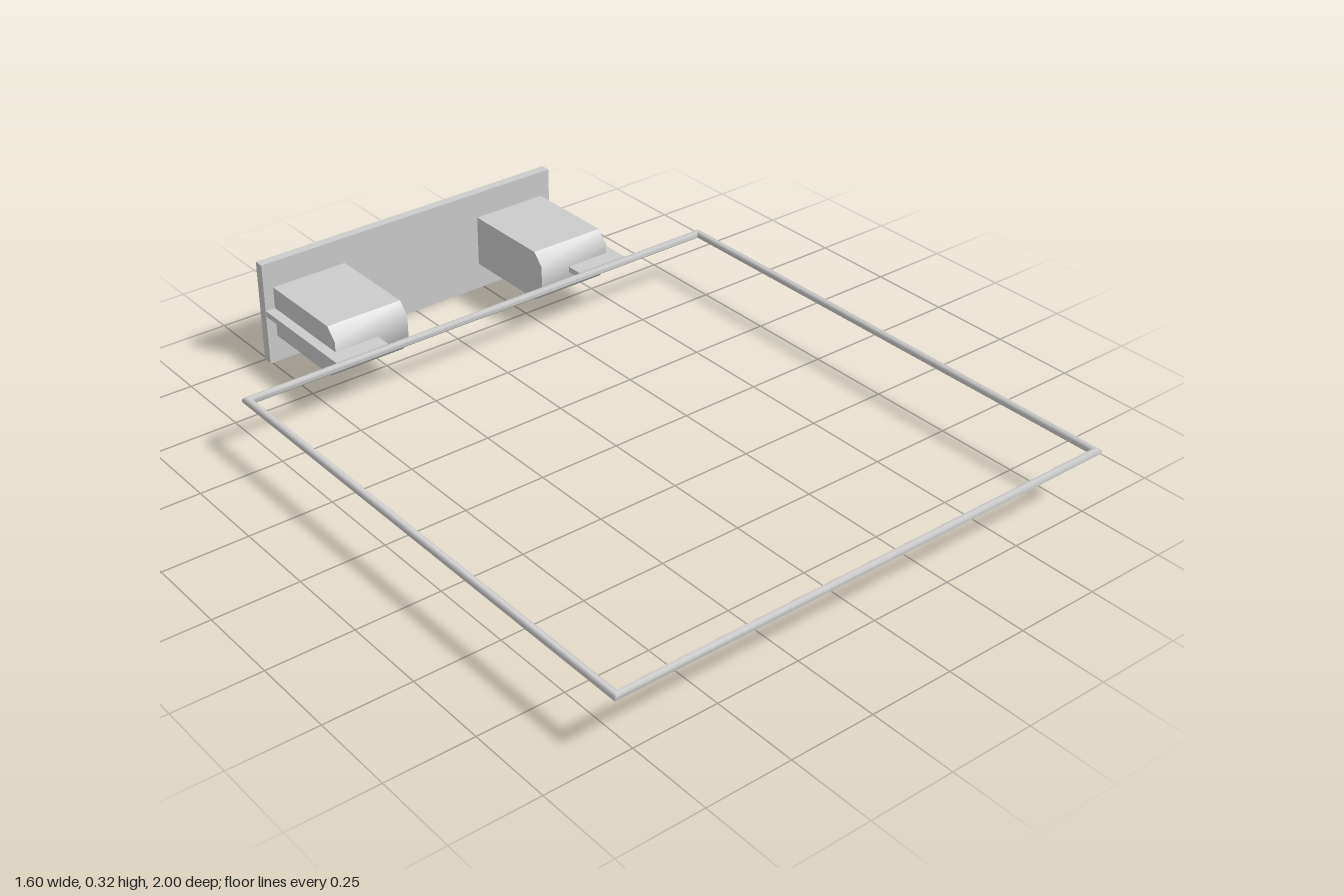
import * as THREE from 'three';
import { toCreasedNormals } from 'three/addons/utils/BufferGeometryUtils.js';

export function createModel() {
  const group = new THREE.Group();
  const material = new THREE.MeshStandardMaterial({ color: 0xcccccc });
  const midY = 0.162;

  const add = (name, geometry, x, y, z) => {
    const mesh = new THREE.Mesh(geometry, material);
    mesh.name = name;
    mesh.position.set(x, y, z);
    group.add(mesh);
    return mesh;
  };

  // Square rim: an octagonal section swept round four mitred corners
  const section = [];
  for (let i = 0; i <= 8; i++) {
    const a = Math.PI / 8 + (i * Math.PI) / 4;
    const r = 0.0118;
    section.push(new THREE.Vector2((0.789 + r * Math.cos(a)) * Math.SQRT2, r * Math.sin(a)));
  }
  const rim = new THREE.LatheGeometry(section, 4, Math.PI / 4);
  add('rim', toCreasedNormals(rim, 0.8), 0, midY, 0.2);

  // Upright mounting board
  add('backBoard', new THREE.BoxGeometry(1.014, 0.32, 0.03), 0, 0.16, -0.985);

  // Support block profile in (z, y), with bevelled front corners
  const front = -0.647, back = -0.97, low = 0.082, high = 0.24;
  const dz = 0.034, dy = 0.036;
  const profile = new THREE.Shape([
    [back, low], [front - dz, low], [front, low + dy],
    [front, high - dy], [front - dz, high], [back, high],
  ].map(([z, y]) => new THREE.Vector2(z, y)));
  const width = 0.24;
  const block = new THREE.ExtrudeGeometry(profile, { depth: width, bevelEnabled: false });
  block.translate(0, 0, -width / 2);
  block.rotateY(-Math.PI / 2);
  const blockGeometry = toCreasedNormals(block, Math.PI / 4);

  // Flat arms carry the rim; the blocks clamp them to the board
  const armGeometry = new THREE.BoxGeometry(0.17, 0.018, 0.376);
  for (const [side, s] of [['left', 1], ['right', -1]]) {
    add(side + 'SupportBlock', blockGeometry, s * 0.356, 0, 0);
    add(side + 'Arm', armGeometry, s * 0.421, midY + 0.002, -0.784);
  }
  return group;
}
